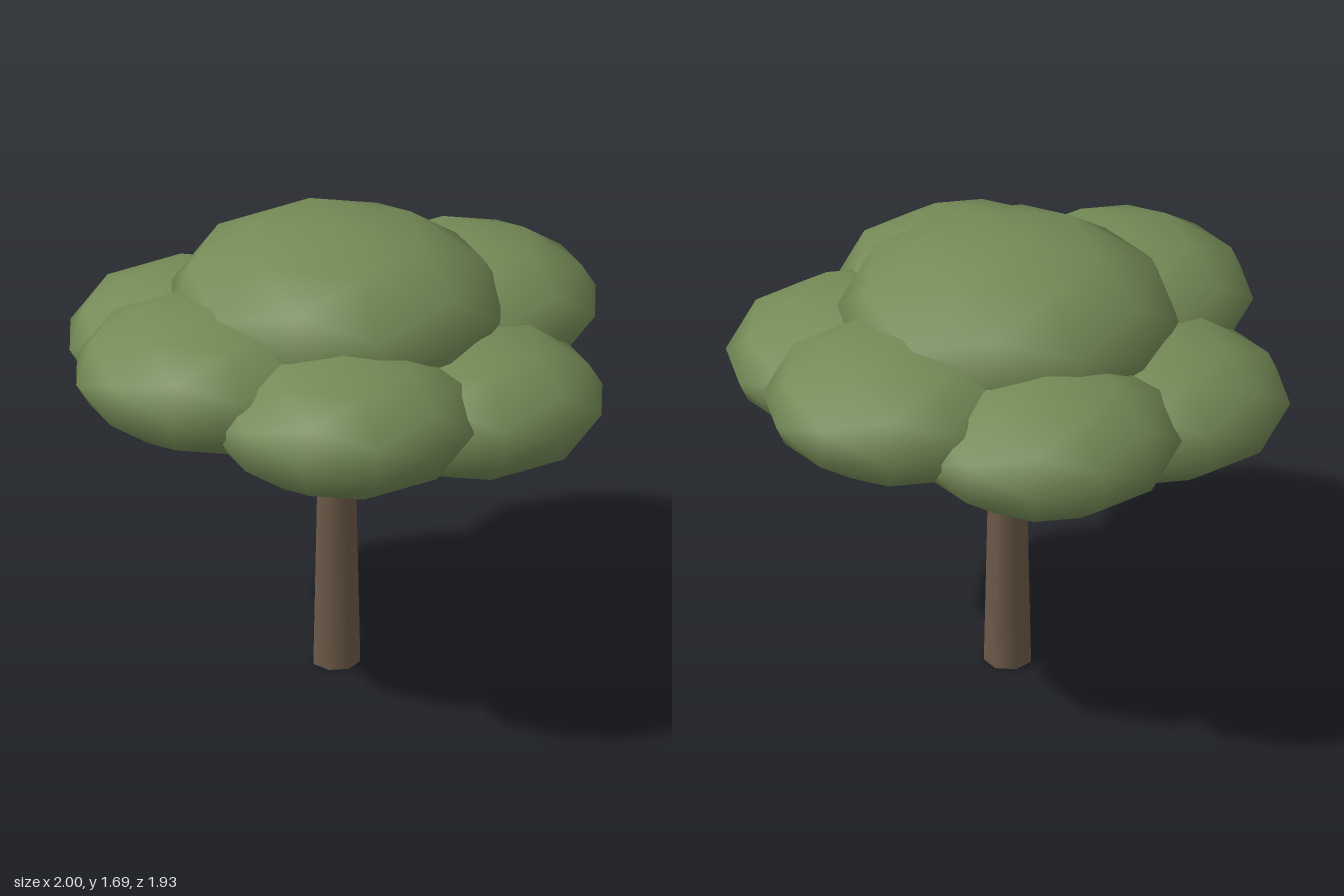
import * as THREE from 'three';

const foliage = new THREE.MeshStandardMaterial({ color: 0x748a56 });
foliage.name = 'foliageGreen';
const bark = new THREE.MeshStandardMaterial({ color: 0x6e5a49 });
bark.name = 'barkBrown';

// Tapered limb between two points
function limb(name, from, to, r0, r1, sides) {
  const a = new THREE.Vector3(...from);
  const b = new THREE.Vector3(...to);
  const dir = b.clone().sub(a);
  const mesh = new THREE.Mesh(new THREE.CylinderGeometry(r1, r0, dir.length(), sides), bark);
  mesh.position.copy(a).add(b).multiplyScalar(0.5);
  mesh.quaternion.setFromUnitVectors(new THREE.Vector3(0, 1, 0), dir.normalize());
  mesh.name = name;
  return mesh;
}

// Flattened, smooth-shaded leaf clump
const clumpGeometry = new THREE.IcosahedronGeometry(1, 1);
function clump(name, position, scale) {
  const mesh = new THREE.Mesh(clumpGeometry, foliage);
  mesh.position.set(...position);
  mesh.scale.set(...scale);
  mesh.name = name;
  return mesh;
}

export function createModel() {
  const tree = new THREE.Group();
  tree.name = 'tree';

  // Trunk
  tree.add(limb('trunk', [0, 0, 0], [0, 1.2, 0], 0.085, 0.06, 7));

  // Branches reaching into the canopy
  const branches = [
    [[0.03, 0.635, 0], [0.47, 0.99, 0.06]],
    [[0.01, 0.74, 0.04], [0.06, 1.0, 0.38]],
    [[-0.02, 0.815, 0.03], [-0.36, 0.97, 0.13]],
    [[-0.03, 0.64, -0.03], [-0.26, 1.04, -0.35]],
    [[0.03, 0.74, -0.04], [0.32, 1.05, -0.48]],
  ];
  branches.forEach(([from, to], i) => tree.add(limb(`branch${i + 1}`, from, to, 0.027, 0.017, 6)));

  // Crown, then three pairs of outer clumps placed opposite each other
  tree.add(clump('crown', [0, 1.39, 0], [0.6, 0.3, 0.575]));
  const pairs = [
    [0.52, 1.137, 0.095],
    [0.18, 1.2, 0.503],
    [-0.34, 1.26, 0.41],
  ];
  pairs.forEach(([x, y, z], i) => {
    for (const s of [1, -1]) {
      tree.add(clump(`leafClump${i + 1}${s > 0 ? 'Front' : 'Back'}`, [s * x, y, s * z], [0.48, 0.24, 0.46]));
    }
  });

  return tree;
}
